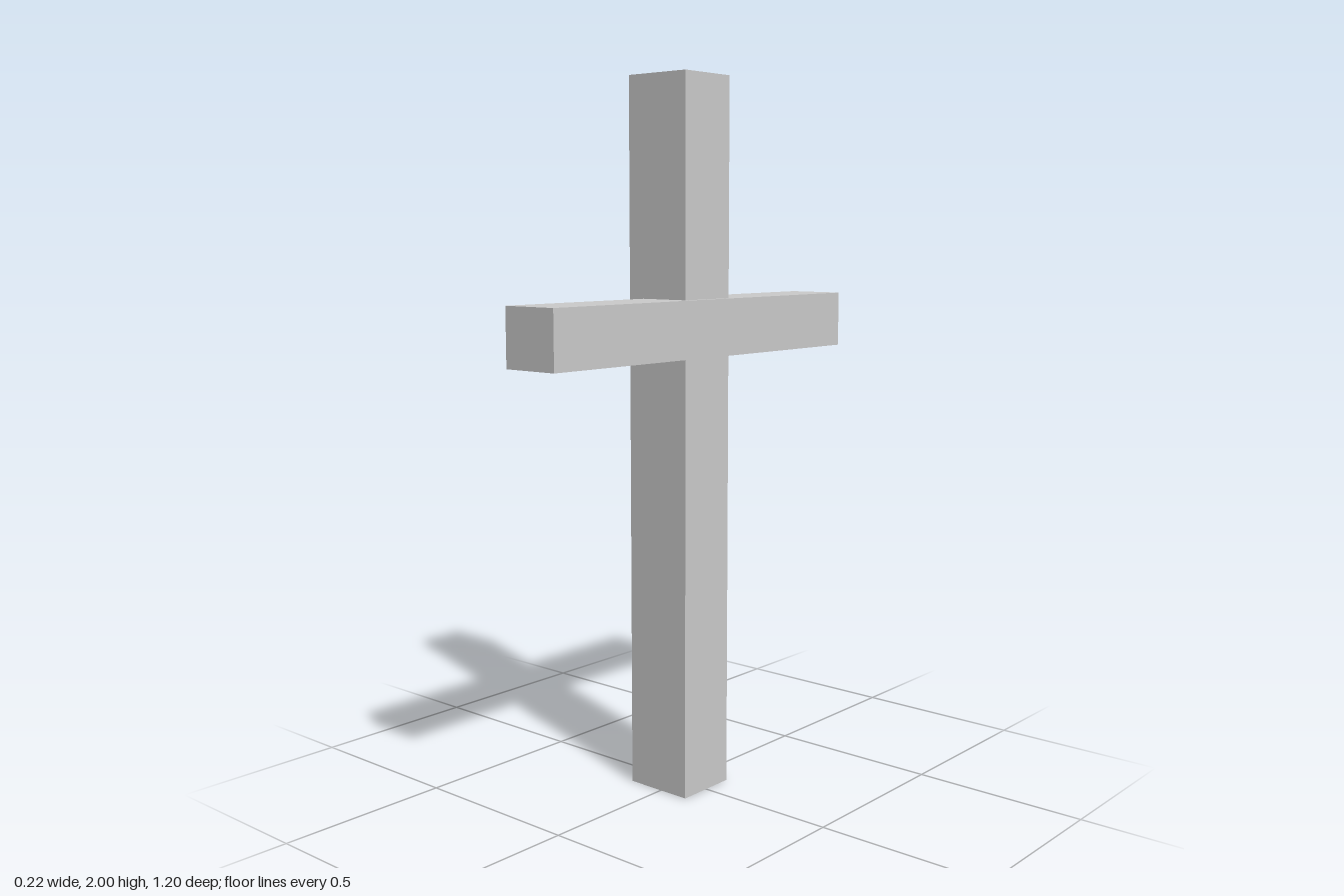
import * as THREE from 'three';

export function createModel() {
  const group = new THREE.Group();
  const material = new THREE.MeshStandardMaterial({ color: 0xcccccc, flatShading: true });

  // Adds a square-cut beam spanning two opposite corners
  function beam(name, min, max) {
    const size = max.map((v, i) => v - min[i]);
    const mesh = new THREE.Mesh(new THREE.BoxGeometry(...size), material);
    mesh.position.set(...max.map((v, i) => (v + min[i]) / 2));
    mesh.name = name;
    group.add(mesh);
  }

  // Upright post
  beam('post', [-0.11, 0, -0.092], [0.092, 2, 0.092]);
  // Crossbar let into the post, standing slightly proud of its left face
  beam('crossbar', [-0.06, 1.24, -0.6], [0.11, 1.398, 0.6]);

  return group;
}
